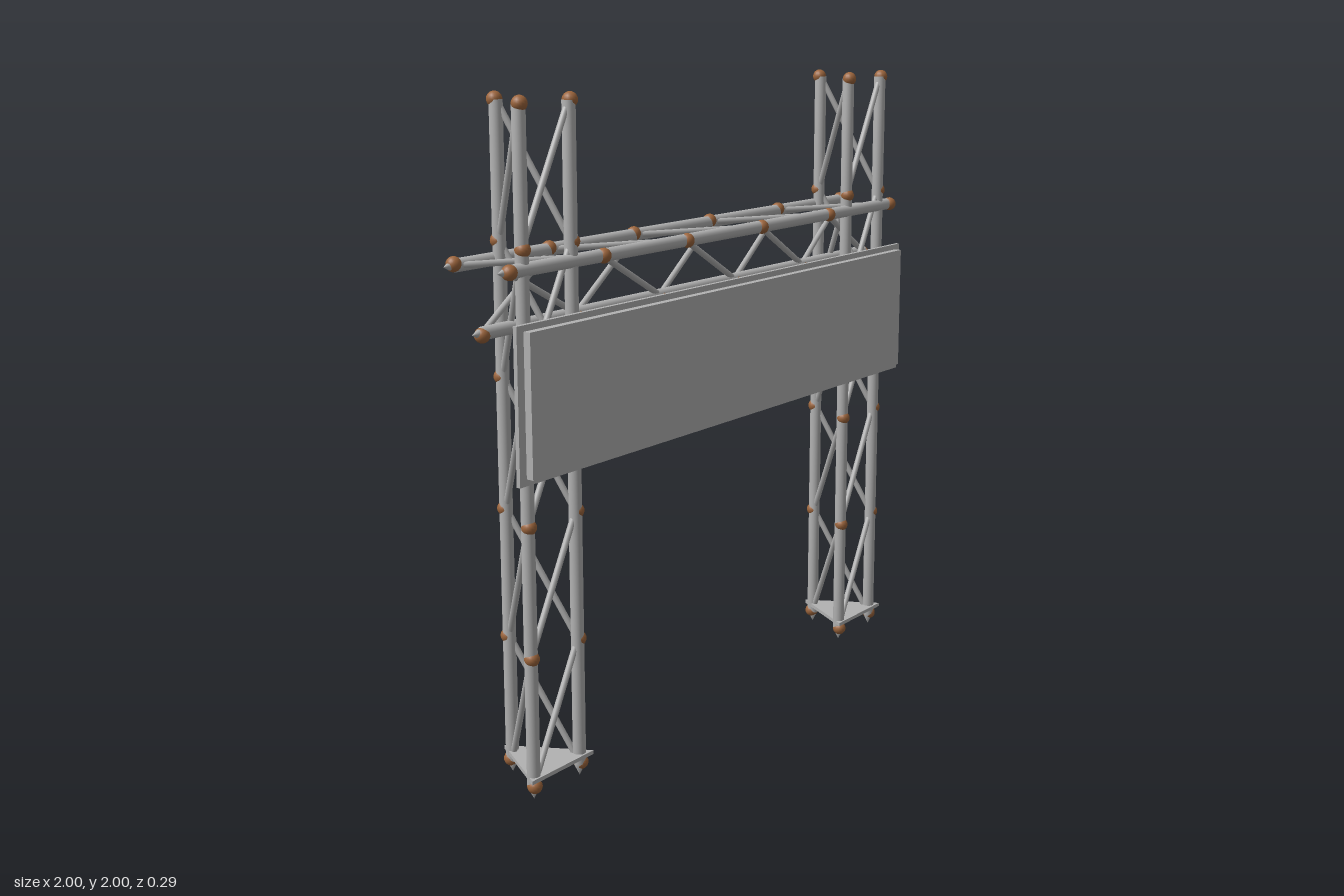
import * as THREE from 'three';

const metal = new THREE.MeshStandardMaterial({ color: 0xb2b2b2 });
metal.name = 'grey metal';
const copper = new THREE.MeshStandardMaterial({ color: 0x9c653c });
copper.name = 'copper joint';

const UP = new THREE.Vector3(0, 1, 0);
const BAYS = 5, FIRST = 0.04, STEP = 0.3875;
const level = (i) => FIRST + i * STEP;

// triangular section: pipe centres and joint centres (x, z)
const PIPES = [[-0.102, 0.073], [0.098, 0.073], [-0.002, -0.103]];
const JOINTS = [[-0.102, 0.077], [0.104, 0.073], [-0.002, -0.108]];

function add(parent, name, geometry, material) {
  const mesh = new THREE.Mesh(geometry, material);
  mesh.name = name;
  parent.add(mesh);
  return mesh;
}

// thin rod between two points
function addRod(parent, name, a, b, radius) {
  const dir = b.clone().sub(a);
  const rod = add(parent, name, new THREE.CylinderGeometry(radius, radius, dir.length(), 10), metal);
  rod.position.copy(a).addScaledVector(dir, 0.5);
  rod.quaternion.setFromUnitVectors(UP, dir.normalize());
}

// three-pipe lattice truss running along +y from a pointed start
function makeTruss(name) {
  const truss = new THREE.Group();
  truss.name = name;

  // pipe profile with conical spigot at the start
  const profile = [new THREE.Vector2(0, 0), new THREE.Vector2(0.0195, FIRST)];
  for (let i = 1; i <= BAYS; i++) profile.push(new THREE.Vector2(0.0195, level(i)));
  profile.push(new THREE.Vector2(0, level(BAYS)));
  const pipeGeometry = new THREE.LatheGeometry(profile, 18);
  const jointGeometry = new THREE.SphereGeometry(0.0225, 16, 12);

  for (let k = 0; k < 3; k++) {
    const [x, z] = PIPES[k];
    const [nx, nz] = PIPES[(k + 1) % 3];
    add(truss, 'mainPipe', pipeGeometry, metal).position.set(x, 0, z);

    // joints at every bay, one diagonal per bay on each face
    for (let i = 0; i <= BAYS; i++) {
      add(truss, 'joint', jointGeometry, copper).position.set(JOINTS[k][0], level(i), JOINTS[k][1]);
      if (i < BAYS) {
        addRod(truss, 'diagonalBrace',
          new THREE.Vector3(x, level(i), z), new THREE.Vector3(nx, level(i + 1), nz), 0.0095);
      }
    }
  }
  return truss;
}

// triangular foot plate
function addBasePlate(tower) {
  const shape = new THREE.Shape();
  shape.moveTo(-0.135, -0.098);
  shape.lineTo(0.133, -0.098);
  shape.lineTo(0, 0.137);
  shape.closePath();
  const geometry = new THREE.ExtrudeGeometry(shape, { depth: 0.012, bevelEnabled: false });
  geometry.rotateX(-Math.PI / 2);
  add(tower, 'basePlate', geometry, metal).position.y = 0.06;
}

export function createModel() {
  const model = new THREE.Group();
  model.name = 'trussGantry';

  // upright towers
  for (const [name, x] of [['rightTower', -0.796], ['leftTower', 0.818]]) {
    const tower = makeTruss(name);
    tower.position.x = x;
    addBasePlate(tower);
    model.add(tower);
  }

  // crossbeam: the same truss laid along x, single pipe underneath
  const beam = makeTruss('crossbeam');
  const basis = new THREE.Matrix4().makeBasis(
    new THREE.Vector3(0, 0, 1), new THREE.Vector3(1, 0, 0), new THREE.Vector3(0, 1, 0));
  beam.quaternion.setFromRotationMatrix(basis);
  beam.position.set(-1, 1.464, -0.019);
  model.add(beam);

  // sign board: backing sheet and raised front panel
  const backing = add(model, 'signBacking', new THREE.BoxGeometry(1.97, 0.445, 0.013), metal);
  backing.position.set(0.01, 1.175, 0.113);
  const panel = add(model, 'signPanel', new THREE.BoxGeometry(1.916, 0.408, 0.024), metal);
  panel.position.set(0.01, 1.176, 0.131);

  return model;
}
